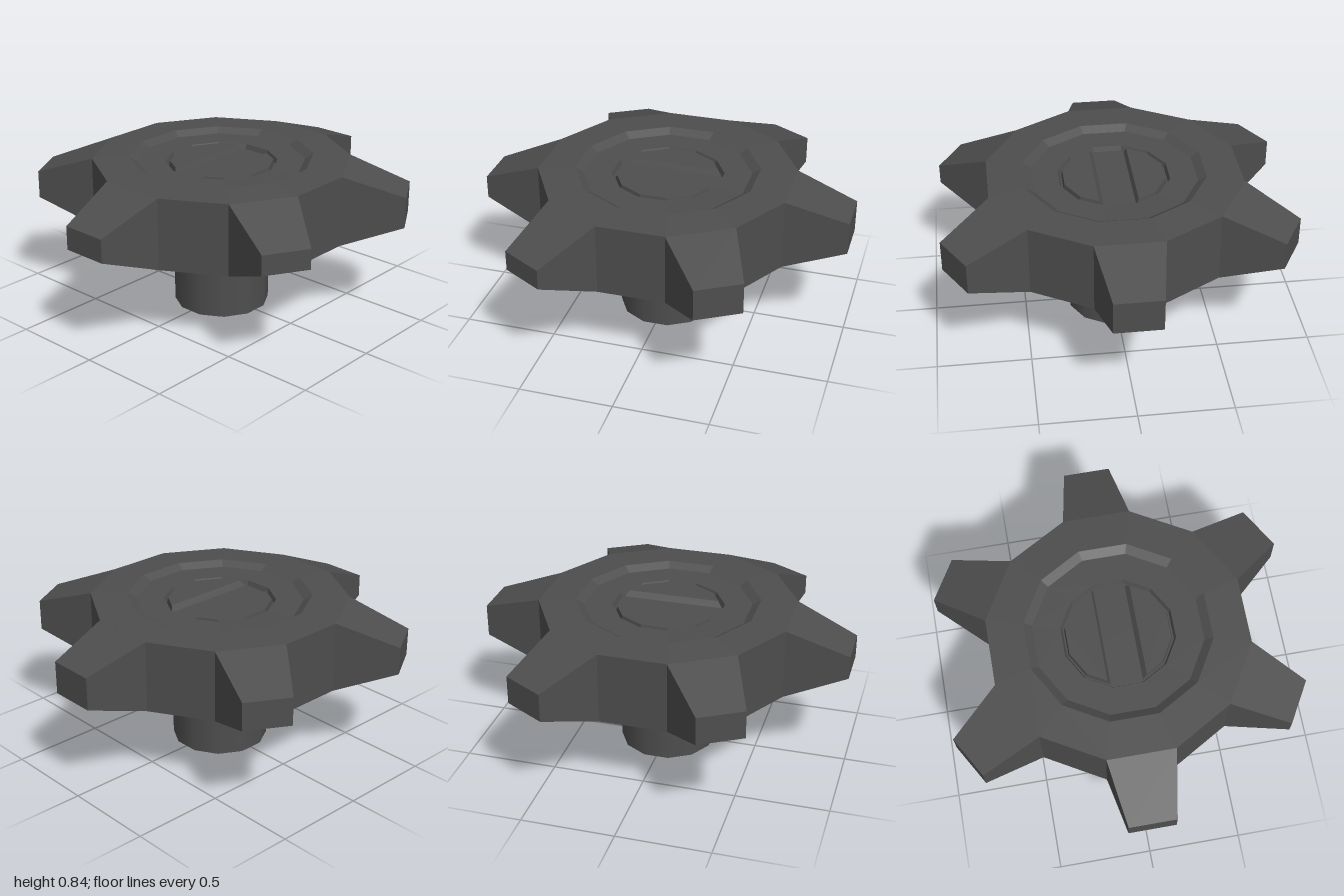
import * as THREE from 'three';
import { ConvexGeometry } from 'three/addons/geometries/ConvexGeometry.js';

const STEP = Math.PI / 6;      // twelve-sided body
const MID = 0.638;             // height of the middle plane

export function createModel() {
  const model = new THREE.Group();
  const metal = new THREE.MeshStandardMaterial({ color: 0x4e4e4e });
  metal.name = 'dark metal';
  metal.flatShading = true;
  const shaftMetal = new THREE.MeshStandardMaterial({ color: 0x4e4e4e });
  shaftMetal.name = 'smooth dark metal';

  const add = (name, geometry, material = metal) => {
    const mesh = new THREE.Mesh(geometry, material);
    mesh.name = name;
    model.add(mesh);
    return mesh;
  };
  const hull = (points) => new ConvexGeometry(points.map((p) => new THREE.Vector3(...p)));

  // Body: half profile (radius, height above the middle), mirrored below
  const half = [
    [0.694, 0.193], [0.495, 0.202], [0.45, 0.174], [0.302, 0.172],
    [0.292, 0.145], [0, 0.145],
  ];
  const profile = [
    ...half.slice().reverse().map(([r, h]) => new THREE.Vector2(r, MID - h)),
    ...half.map(([r, h]) => new THREE.Vector2(r, MID + h)),
  ];
  add('wheelBody', new THREE.LatheGeometry(profile, 12, STEP / 2));

  // Six tapering teeth, with slightly different tip thicknesses
  [0.063, 0.054, 0.084, 0.088, 0.076, 0.075].forEach((tip, i) => {
    const points = [];
    for (const sx of [-1, 1]) {
      for (const sy of [-1, 1]) {
        points.push([sx * 0.18, sy * 0.193, 0.67], [sx * 0.125, sy * tip, 1]);
      }
    }
    const tooth = add('tooth' + (i + 1), hull(points));
    tooth.position.y = MID;
    tooth.rotation.y = i * Math.PI / 3;
  });

  // Hub cap: two raised segments leaving a sloped slot between them
  const segment = (side, edgeTop, edgeFloor) => {
    const points = [];
    for (const [r, edge, y] of [[0.284, edgeFloor, 0.78], [0.278, edgeTop, 0.812]]) {
      const ring = [0.5, 1.5, 2.5].map((k) => [r * Math.cos(k * STEP), r * Math.sin(k * STEP)]);
      for (const sz of [-1, 1]) {
        for (const [x, z] of ring) {
          if (x > edge) points.push([side * x, y, sz * z]);
        }
        // end of the slot edge on the twelve-sided outline
        const [b, c] = [ring[1], ring[2]];
        const t = Math.max(0, (edge - c[0]) / (b[0] - c[0]));
        points.push([side * edge, y, sz * (c[1] + t * (b[1] - c[1]))]);
      }
    }
    return hull(points);
  };
  add('hubCapLeft', segment(1, 0.105, 0.08));
  add('hubCapRight', segment(-1, 0.1, 0.085));

  // Shaft below the wheel
  const shaft = add('shaft', new THREE.CylinderGeometry(0.26, 0.26, 0.5, 12, 1, false, STEP / 2), shaftMetal);
  shaft.position.y = 0.25;

  return model;
}
